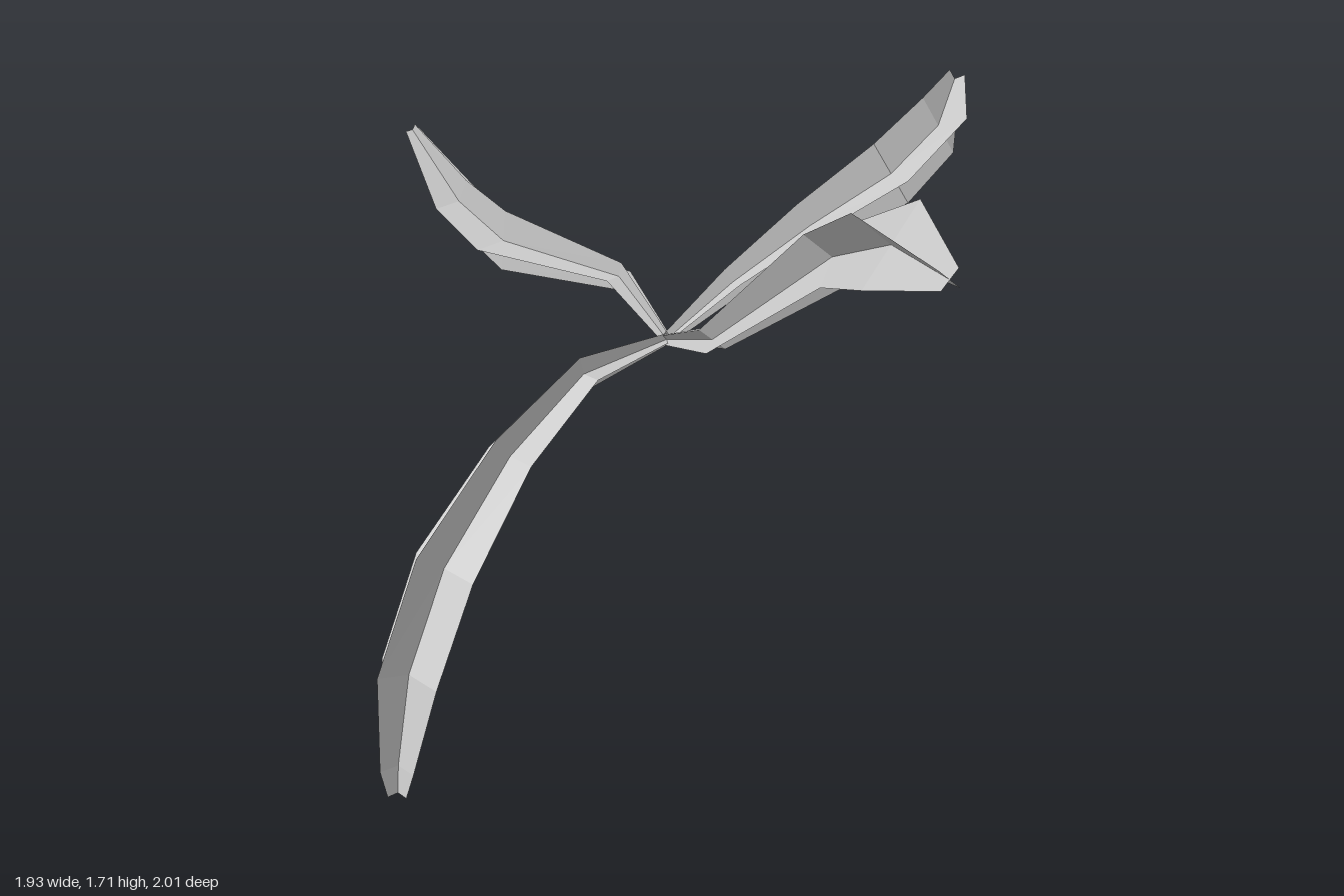
import * as THREE from 'three';

const BASE = [-0.06, 1.02, -0.07, 0.02];

// Each leaf arches in one plane: its normal, then rows of x, y, z, half width
const LEAVES = [
  {
    name: 'frontRightLeaf', normal: [0.65, 0, 0.76],
    rows: [BASE, [-0.325, 1.03, 0.15, 0.058], [-0.55, 0.88, 0.34, 0.087], [-0.75, 0.635, 0.515, 0.12],
      [-0.865, 0.36, 0.62, 0.117], [-0.913, 0.09, 0.675, 0.066], [-0.92, 0.005, 0.69, 0.037]],
  },
  {
    name: 'frontLeftLeaf', normal: [0.76, -0.65, 0],
    rows: [BASE, [0.04, 1.145, 0.205, 0.05], [0.33, 1.48, 0.43, 0.105], [0.43, 1.61, 0.67, 0.14],
      [0.495, 1.655, 1.0, 0.035]],
  },
  {
    name: 'backLeftLeaf', normal: [-0.51, 0.86, 0],
    rows: [BASE, [0.155, 1.145, -0.185, 0.05], [0.4, 1.29, -0.25, 0.083], [0.64, 1.455, -0.23, 0.113],
      [0.815, 1.55, -0.375, 0.105], [0.935, 1.605, -0.655, 0.036]],
  },
  {
    name: 'backRightLeaf', normal: [0.78, 0, -0.63],
    rows: [BASE, [-0.185, 1.15, -0.26, 0.05], [-0.525, 1.14, -0.61, 0.108], [-0.66, 1.215, -0.78, 0.095],
      [-0.8, 1.395, -0.985, 0.027]],
  },
];

// A ribbon through the row centres, widened both ways along the side vectors
function ribbon(centres, sides) {
  const positions = [];
  const index = [];
  centres.forEach((c, i) => {
    positions.push(...c.clone().sub(sides[i]).toArray(), ...c.toArray(), ...c.clone().add(sides[i]).toArray());
    if (i === 0) return;
    for (let k = 0; k < 2; k++) {
      const a = (i - 1) * 3 + k;
      index.push(a, a + 1, a + 3, a + 1, a + 4, a + 3);
    }
  });
  const geometry = new THREE.BufferGeometry();
  geometry.setAttribute('position', new THREE.Float32BufferAttribute(positions, 3));
  geometry.setIndex(index);
  geometry.computeVertexNormals();
  return geometry;
}

export function createModel() {
  const model = new THREE.Group();
  model.name = 'plant';
  const material = new THREE.MeshStandardMaterial({ color: 0xcccccc, flatShading: true, side: THREE.DoubleSide });

  for (const { name, normal, rows } of LEAVES) {
    const n = new THREE.Vector3(...normal).normalize();
    const centres = rows.map(([x, y, z]) => new THREE.Vector3(x, y, z));
    const direction = (i) => centres[i + 1].clone().sub(centres[i]).normalize();
    const last = rows.length - 1;

    // Two ribbons cross along the midrib: one across the arch, one within it
    const across = rows.map((r) => n.clone().multiplyScalar(r[3]));
    const within = rows.map((r, i) => {
      const tangent = direction(Math.max(i - 1, 0)).add(direction(Math.min(i, last - 1)));
      return n.clone().cross(tangent).normalize().multiplyScalar(r[3]);
    });

    const leaf = new THREE.Group();
    leaf.name = name;
    [['flatBlade', across], ['uprightBlade', within]].forEach(([part, sides]) => {
      const mesh = new THREE.Mesh(ribbon(centres, sides), material);
      mesh.name = part;
      leaf.add(mesh);
    });
    model.add(leaf);
  }
  return model;
}
